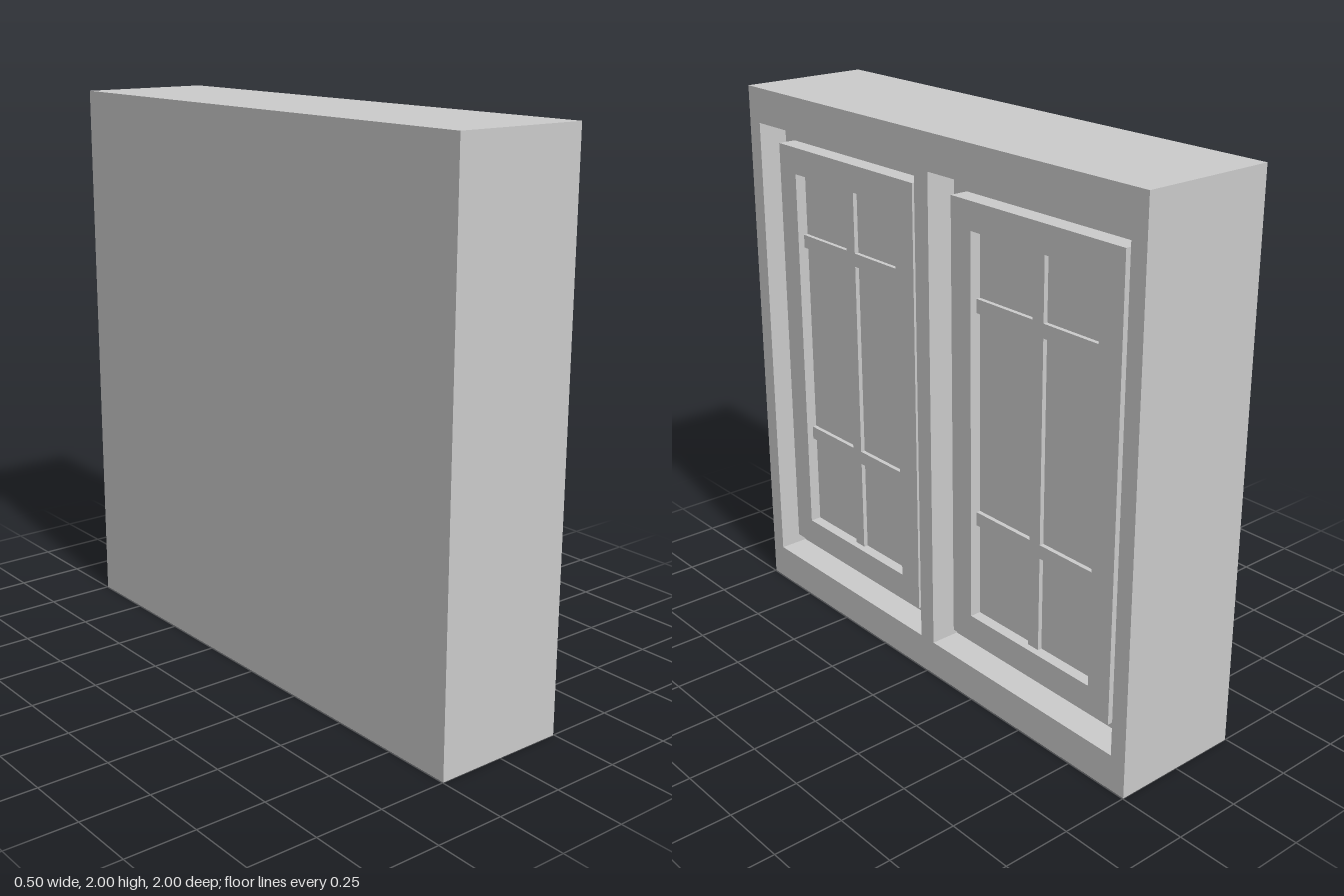
import * as THREE from 'three';

const FRONT = 0.2475; // x of the wall face that carries the windows

export function createModel() {
  const model = new THREE.Group();
  model.name = 'windowWall';
  const material = new THREE.MeshStandardMaterial({ color: 0xcccccc, flatShading: true });

  const trace = (path, [u0, u1, v0, v1]) => {
    path.moveTo(u0, v0);
    path.lineTo(u1, v0);
    path.lineTo(u1, v1);
    path.lineTo(u0, v1);
    path.closePath();
    return path;
  };

  // Rectangular panel with rectangular holes, in (-z, y), between two depths below the wall face
  function panel(name, rect, holes, top, bottom, parent) {
    const shape = trace(new THREE.Shape(), rect);
    for (const hole of holes) shape.holes.push(trace(new THREE.Path(), hole));
    const geometry = new THREE.ExtrudeGeometry(shape, { depth: bottom - top, bevelEnabled: false });
    geometry.rotateY(Math.PI / 2);
    geometry.translate(FRONT - bottom, 0, 0);
    const mesh = new THREE.Mesh(geometry, material);
    mesh.name = name;
    parent.add(mesh);
  }

  const mirror = ([a, b, c, d]) => [-b, -a, c, d];
  const sides = [{ name: 'left', f: (r) => r }, { name: 'right', f: mirror }];

  // Wall: solid back with a pierced front layer forming the two recesses
  const wall = [-1, 1, 0, 2];
  const opening = [0.035, 0.938, 0.132, 1.872];
  panel('wallBack', wall, [], 0.11, 2 * FRONT, model);
  panel('wallFront', wall, sides.map((s) => s.f(opening)), 0, 0.11, model);

  // Window parts
  const sashRect = [0.1, 0.88, 0.2, 1.802];
  const paneRect = [0.197, 0.783, 0.3, 1.704];
  const columns = [[0.197, 0.467], [0.517, 0.783]];
  const rows = [[0.3, 0.65], [0.7, 1.423], [1.472, 1.704]];
  const lights = columns.flatMap((c) => rows.map((r) => [...c, ...r]));

  for (const { name, f } of sides) {
    const windowGroup = new THREE.Group();
    windowGroup.name = name + 'Window';
    panel('sash', f(sashRect), [f(paneRect)], 0.042, 0.11, windowGroup);
    panel('pane', f(paneRect), [], 0.083, 0.11, windowGroup);
    // Glazing bars: a coplanar lattice around the six lights
    const grow = 0.01;
    const [a, b, c, d] = paneRect;
    const lattice = [a - grow, b + grow, c - grow, d + grow];
    panel('glazingBars', f(lattice), lights.map(f), 0.067, 0.083, windowGroup);
    model.add(windowGroup);
  }
  return model;
}
